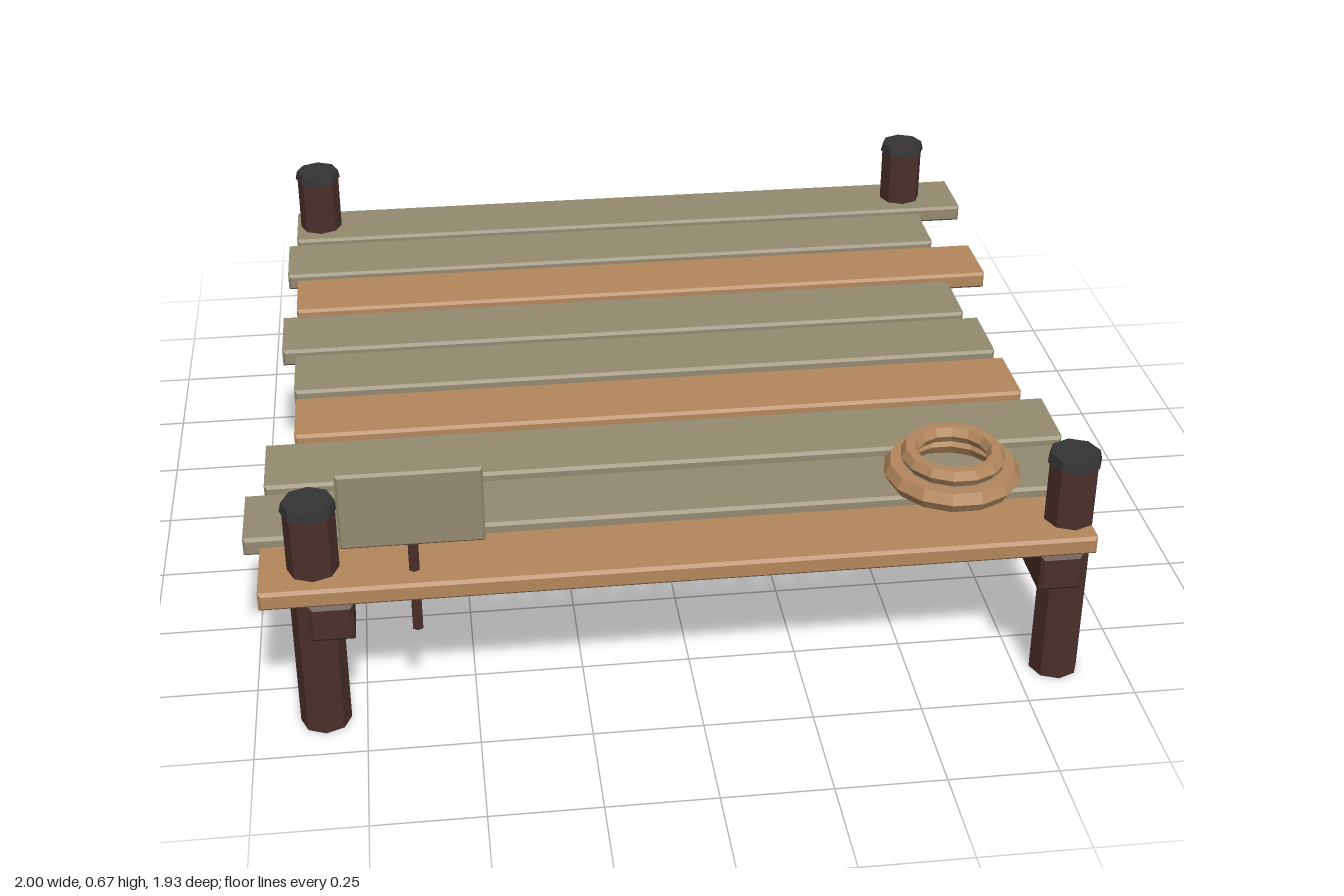
import * as THREE from 'three';

const mat = (name, color) => {
  const m = new THREE.MeshStandardMaterial({ color, flatShading: true });
  m.name = name;
  return m;
};

export function createModel() {
  const dock = new THREE.Group();
  dock.name = 'dock';

  const greyWood = mat('weathered wood', 0x938a70);
  const tanWood = mat('fresh wood', 0xb3875c);
  const darkWood = mat('dark wood', 0x4c302a);
  const iron = mat('dark iron', 0x343434);

  const add = (name, geometry, material, x, y, z) => {
    const mesh = new THREE.Mesh(geometry, material);
    mesh.name = name;
    mesh.position.set(x, y, z);
    dock.add(mesh);
    return mesh;
  };

  // Box with chamfered edges, centred on its origin
  const chamferBox = (w, h, d, b = 0.007) => {
    const x = w / 2 - b, y = h / 2 - b;
    const shape = new THREE.Shape();
    shape.moveTo(-x, -y).lineTo(x, -y).lineTo(x, y).lineTo(-x, y).closePath();
    return new THREE.ExtrudeGeometry(shape, {
      depth: d - 2 * b, bevelThickness: b, bevelSize: b, bevelSegments: 1,
    }).translate(0, 0, b - d / 2);
  };

  // Deck planks: left end, right end, centre z, material
  const planks = [
    [-0.91, 1.0, -0.875, greyWood],
    [-0.93, 0.868, -0.657, greyWood],
    [-0.902, 0.963, -0.44, tanWood],
    [-0.935, 0.85, -0.222, greyWood],
    [-0.9, 0.878, -0.007, greyWood],
    [-0.895, 0.888, 0.213, tanWood],
    [-0.96, 0.928, 0.431, greyWood],
    [-1.0, 0.91, 0.65, greyWood],
    [-0.96, 0.884, 0.868, tanWood],
  ];
  planks.forEach(([x0, x1, z, m], i) => {
    const plank = add('plank' + (i + 1), chamferBox(x1 - x0, 0.044, 0.19), m, (x0 + x1) / 2, 0.387, z);
    plank.rotation.x = 0.015 * Math.sin(i * 2.3);
  });

  for (const side of [-1, 1]) {
    const label = side > 0 ? 'left' : 'right';

    // Long beam under the planks
    add(label + 'Beam', chamferBox(0.096, 0.09, 1.93, 0.008), darkWood, side * 0.807, 0.32, -0.002);

    // Octagonal posts with iron caps
    for (const [end, z] of [['Front', 0.87], ['Back', -0.875]]) {
      add(label + end + 'Post', new THREE.CylinderGeometry(0.057, 0.057, 0.565, 8), darkWood, side * 0.842, 0.2825, z);
      add(label + end + 'PostCap', new THREE.CylinderGeometry(0.057, 0.062, 0.022, 8), iron, side * 0.842, 0.569, z);
    }
  }

  // Sign board on a thin stake
  add('signBoard', chamferBox(0.312, 0.184, 0.03, 0.006), greyWood, -0.624, 0.58, 0.916);
  add('signStake', new THREE.CylinderGeometry(0.013, 0.013, 0.25, 6), darkWood, -0.624, 0.38, 0.901);

  // Coiled rope: two stacked faceted rings
  for (const [name, radius, tube, y] of [['lowerRopeCoil', 0.131, 0.028, 0.434], ['upperRopeCoil', 0.1, 0.022, 0.476]]) {
    const ring = new THREE.TorusGeometry(radius, tube, 6, 14).rotateX(Math.PI / 2);
    add(name, ring, tanWood, 0.618, y, 0.68);
  }

  return dock;
}
